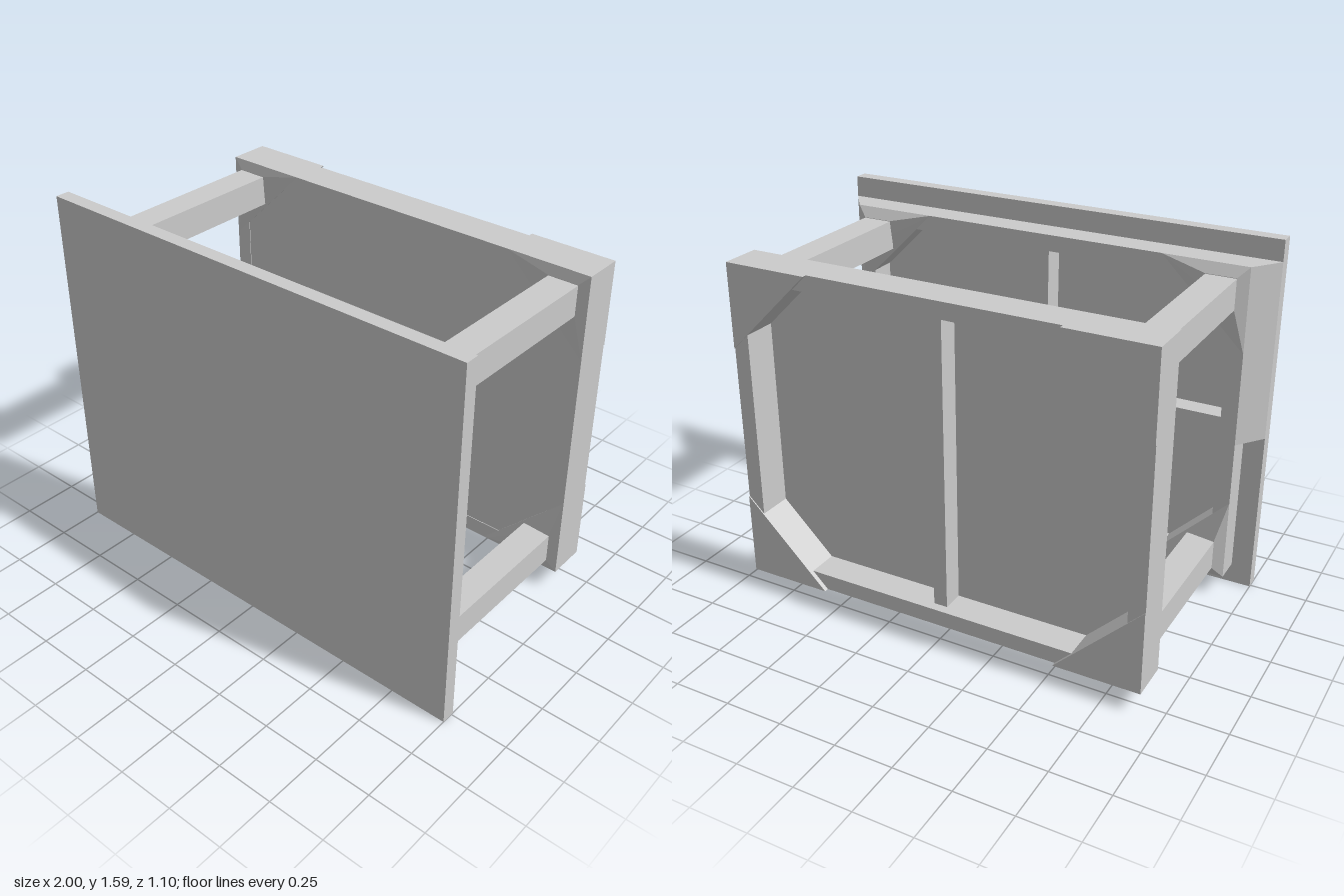
import * as THREE from 'three';
import { ConvexGeometry } from 'three/addons/geometries/ConvexGeometry.js';

const material = new THREE.MeshStandardMaterial({ color: 0xcccccc, flatShading: true });
const MID = 0.795; // middle height of both frames

export function createModel() {
  const model = new THREE.Group();

  const add = (name, geometry) => {
    const mesh = new THREE.Mesh(geometry, material);
    mesh.name = name;
    model.add(mesh);
  };

  // Box given by its lowest and highest corner
  const box = (name, x0, x1, y0, y1, z0, z1) => {
    const g = new THREE.BoxGeometry(x1 - x0, y1 - y0, z1 - z0);
    g.translate((x0 + x1) / 2, (y0 + y1) / 2, (z0 + z1) / 2);
    add(name, g);
  };

  // Convex solid from a list of corner points
  const solid = (name, points) =>
    add(name, new ConvexGeometry(points.map((p) => new THREE.Vector3(...p))));

  // Top and bottom rails plus two side rails
  const frame = (name, zBack, zFront, sideBack) => {
    for (const s of [-1, 1]) {
      const a = MID + s * 0.705, b = MID + s * 0.635;
      box(name + 'LongRail', -0.91, 0.91, Math.min(a, b), Math.max(a, b), zBack, zFront);
      box(name + 'SideRail', Math.min(s * 0.91, s * 0.84), Math.max(s * 0.91, s * 0.84),
        0.16, 1.43, sideBack, zFront);
    }
  };

  // Triangular corner block with a raised seat around the leg
  const gusset = (name, sx, sy, zBase, zFace, zSeat) => {
    const at = (x, y, z) => [sx * x, MID + sy * y, z];
    const points = [];
    for (const z of [zBase, zFace]) {
      points.push(at(0.91, 0.705, z), at(0.54, 0.705, z), at(0.91, 0.34, z));
    }
    points.push(at(0.865, 0.66, zSeat), at(0.735, 0.66, zSeat), at(0.865, 0.525, zSeat));
    solid(name, points);
  };

  // Large front slab
  box('tabletop', -1, 1, 0, 1.59, 0.49, 0.55);

  // Frame and braces behind the slab
  frame('topFrame', 0.37, 0.49, 0.37);
  box('topUprightBrace', -0.03, 0.03, 0.16, 1.43, 0.39, 0.49);
  box('topCrossBrace', -0.84, 0.84, 0.77, 0.83, 0.4, 0.49);

  // Rear tray: rails, panel and centre brace
  frame('shelfFrame', -0.53, -0.375, -0.545);
  box('shelfPanel', -0.9, 0.9, 0.1, 1.49, -0.395, -0.378);
  box('shelfBrace', -0.03, 0.03, 0.16, 1.43, -0.49, -0.39);

  // Legs and corner blocks
  for (const sx of [-1, 1]) {
    for (const sy of [-1, 1]) {
      const leg = new THREE.BoxGeometry(0.13, 0.13, 0.74);
      leg.translate(sx * 0.8, MID + sy * 0.593, -0.005);
      add('leg', leg);
      gusset('topCornerBlock', sx, sy, 0.49, 0.37, 0.345);
      gusset('shelfCornerBlock', sx, sy, -0.55, -0.375, -0.365);
    }
  }

  // Sloping side skirts, longer on the right
  for (const [s, yLow] of [[-1, 0.73], [1, 1.31]]) {
    const points = [];
    for (const y of [yLow, 1.5]) {
      points.push([s * 0.85, y, 0.37], [s * 0.91, y, 0.37], [s * 1, y, 0.49], [s * 0.85, y, 0.49]);
    }
    solid('slopedSkirt', points);
  }

  return model;
}
